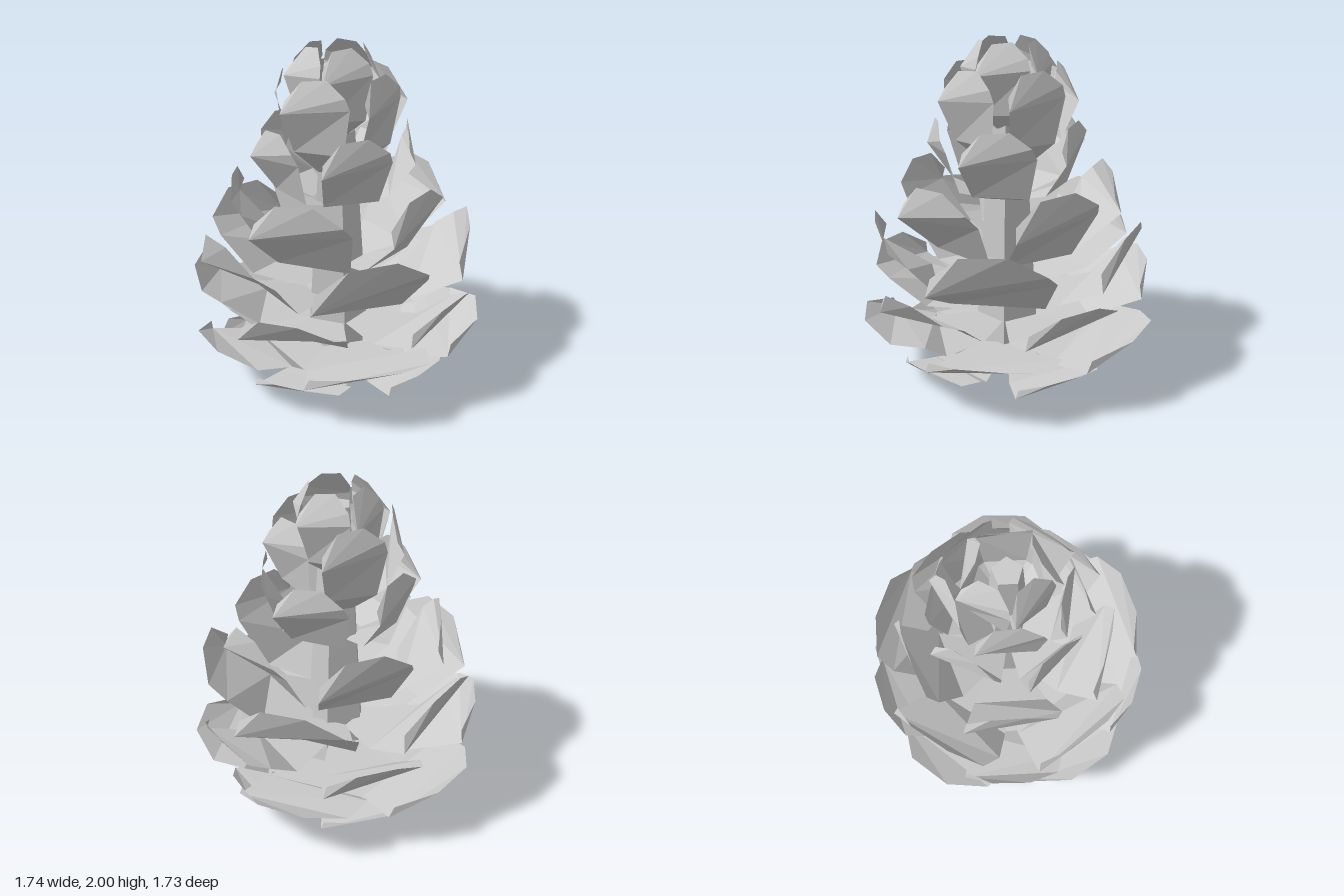
import * as THREE from 'three';

// Tiers from the bottom up: half width w and a profile of [radius, height]
// points running from the core through belly and knee to the tip
const TIERS = [
  { w: 0.28, base: [0.18, 0.08], belly: [0.41, 0.08], knee: [0.56, 0.125], tip: [0.71, 0.195] },
  { w: 0.38, base: [0.17, 0.19], belly: [0.42, 0.20], knee: [0.61, 0.275], tip: [0.88, 0.39] },
  { w: 0.305, base: [0.16, 0.34], belly: [0.45, 0.36], knee: [0.71, 0.505], tip: [0.85, 0.675] },
  { w: 0.35, base: [0.15, 0.50], belly: [0.44, 0.56], knee: [0.68, 0.76], tip: [0.79, 1.0] },
  { w: 0.285, base: [0.14, 0.72], belly: [0.37, 0.79], knee: [0.57, 1.05], tip: [0.60, 1.25] },
  { w: 0.21, base: [0.12, 1.09], belly: [0.31, 1.16], knee: [0.42, 1.39], tip: [0.41, 1.56] },
  { w: 0.19, base: [0.10, 1.27], belly: [0.28, 1.44], knee: [0.34, 1.69], tip: [0.30, 1.86] },
  { w: 0.15, base: [0.08, 1.50], belly: [0.19, 1.60], knee: [0.23, 1.84], tip: [0.15, 2.0] },
];
const SCALES_PER_TIER = 5;
const CORE_HEIGHT = 1.88;

// A scale has three facets: underside, lower face and upper face.
// The knee crease slants: its right end is higher and closer to the core.
function scaleGeometry({ w, base, belly, knee, tip }) {
  const at = ([r, y], s) => new THREE.Vector3(s * w, y, r);
  const between = (t, s) => at([
    THREE.MathUtils.lerp(knee[0], tip[0], t),
    THREE.MathUtils.lerp(knee[1], tip[1], t),
  ], s);
  const slant = (s) => at([knee[0] - 0.15 * w * s, knee[1] + 0.1 * w * s], s);

  const facets = [
    [at(base, -0.35), at(base, 0.35), at(belly, 0.77), at(belly, -0.77)],
    [at(belly, -0.77), at(belly, 0.77), slant(1), slant(-1)],
    [slant(-1), slant(1), between(0.5, 0.88), between(1, 0.3), between(0.92, -0.45), between(0.28, -0.93)],
  ];

  // Fan each facet into triangles facing outward
  const points = [];
  for (const facet of facets) {
    for (let i = 1; i < facet.length - 1; i++) points.push(facet[0], facet[i], facet[i + 1]);
  }
  const geometry = new THREE.BufferGeometry().setFromPoints(points);
  geometry.computeVertexNormals();
  return geometry;
}

export function createModel() {
  const cone = new THREE.Group();
  cone.name = 'pineCone';

  const material = new THREE.MeshStandardMaterial({
    color: 0xcccccc, flatShading: true, side: THREE.DoubleSide,
  });

  // Tapered five-sided core
  const core = new THREE.Mesh(new THREE.CylinderGeometry(0.085, 0.213, CORE_HEIGHT, 5), material);
  core.name = 'core';
  core.rotation.y = Math.PI;
  core.position.y = CORE_HEIGHT / 2;
  cone.add(core);

  // Rings of scales, every other ring turned by half a step
  const step = (Math.PI * 2) / SCALES_PER_TIER;
  TIERS.forEach((tier, i) => {
    const ring = new THREE.Group();
    ring.name = `scaleRing${i + 1}`;
    const geometry = scaleGeometry(tier);
    for (let k = 0; k < SCALES_PER_TIER; k++) {
      const scale = new THREE.Mesh(geometry, material);
      scale.name = 'scale';
      scale.rotation.y = (k + (i % 2) / 2) * step;
      ring.add(scale);
    }
    cone.add(ring);
  });

  return cone;
}
